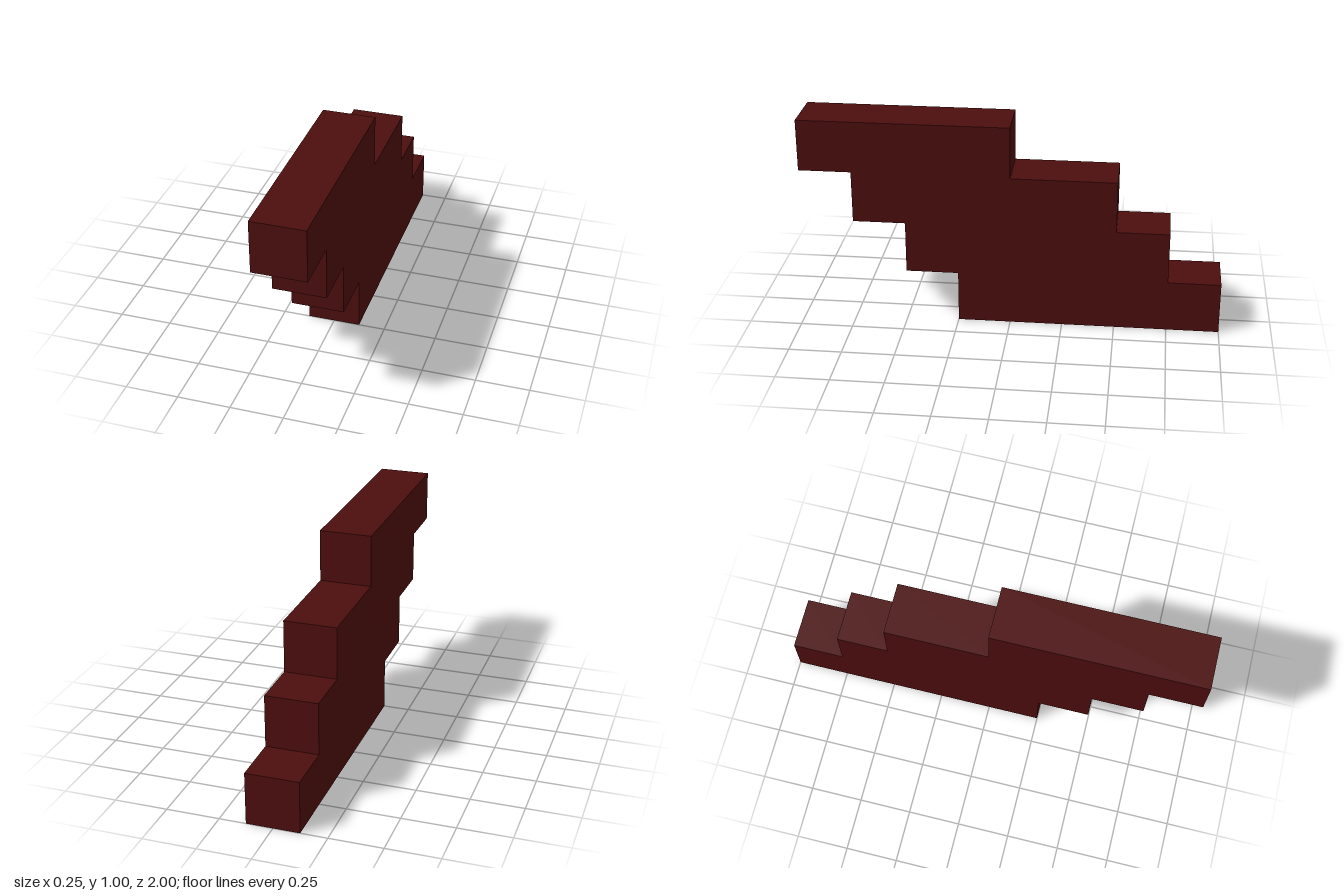
import * as THREE from 'three';

const WIDTH = 0.25;
const STEP = 0.25;

// Back and front end (z) of each course, from the bottom up
const COURSES = [[-1, 0.25], [-0.75, 0.5], [-0.5, 0.75], [0, 1]];

export function createModel() {
  const darkRed = new THREE.MeshStandardMaterial({ color: 0x4c0d0d });
  darkRed.name = 'darkRed';

  // Stepped side profile: up the front ends, then down the back ends
  const front = COURSES.flatMap(([, z], i) => [
    new THREE.Vector2(z, i * STEP),
    new THREE.Vector2(z, (i + 1) * STEP),
  ]);
  const back = COURSES.flatMap(([z], i) => [
    new THREE.Vector2(z, i * STEP),
    new THREE.Vector2(z, (i + 1) * STEP),
  ]).reverse();
  const profile = new THREE.Shape([...front, ...back]);

  // Extrude across the width and turn the profile to run along z
  const geometry = new THREE.ExtrudeGeometry(profile, { depth: WIDTH, bevelEnabled: false });
  geometry.translate(0, 0, -WIDTH / 2);
  geometry.rotateY(-Math.PI / 2);

  const steppedWall = new THREE.Mesh(geometry, darkRed);
  steppedWall.name = 'steppedWall';

  const group = new THREE.Group();
  group.name = 'steppedBlock';
  group.add(steppedWall);
  return group;
}
